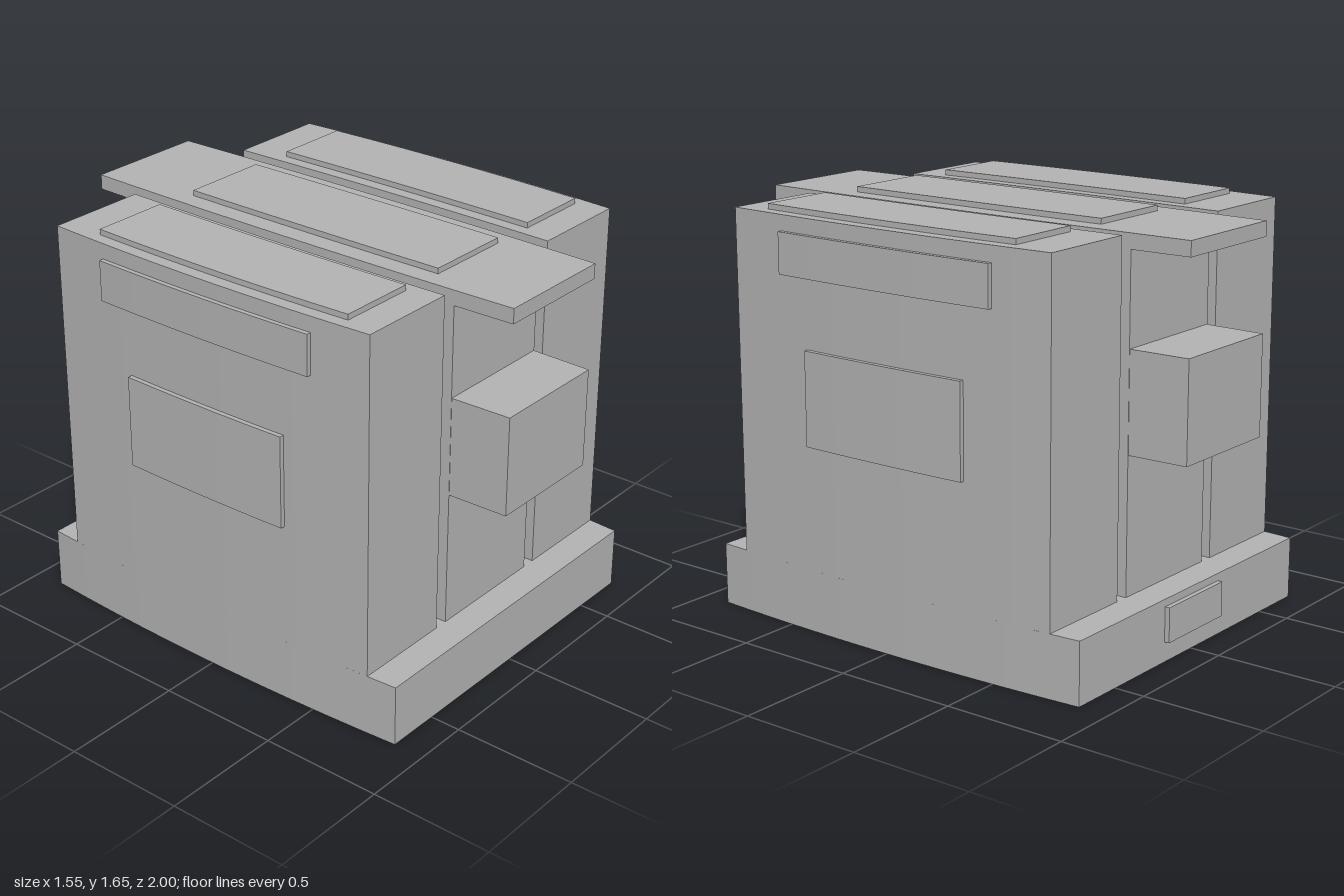
import * as THREE from 'three';

export function createModel() {
  const group = new THREE.Group();
  const grey = new THREE.MeshStandardMaterial({ color: 0xb2b2b2, flatShading: true });
  grey.name = 'grey';

  // A box given by its limits, whose sides bulge gently around z = 0
  function block(name, [x0, x1], [y0, y1], [z0, z1]) {
    const segments = Math.max(2, Math.round((z1 - z0) * 6));
    const geo = new THREE.BoxGeometry(x1 - x0, y1 - y0, z1 - z0, 1, 1, segments);
    geo.translate((x0 + x1) / 2, (y0 + y1) / 2, (z0 + z1) / 2);
    const p = geo.attributes.position;
    for (let i = 0; i < p.count; i++) {
      p.setX(i, p.getX(i) * (1 - 0.055 * p.getZ(i) ** 2));
    }
    geo.computeVertexNormals();
    const mesh = new THREE.Mesh(geo, grey);
    mesh.name = name;
    group.add(mesh);
  }

  // Base and its rear plate
  block('base', [-0.755, 0.755], [0, 0.25], [-0.875, 0.875]);
  block('rearPlate', [-0.19, 0.19], [0.08, 0.22], [-0.895, -0.875]);

  // Central tower with overhanging roof
  block('centreTower', [-0.267, 0.267], [0.25, 1.565], [-0.75, 0.75]);
  block('centreRoof', [-0.267, 0.267], [1.565, 1.625], [-1, 1]);
  block('centreRoofPanel', [-0.186, 0.186], [1.625, 1.647], [-0.565, 0.62]);

  // Projecting boxes on the front and back
  block('frontBox', [-0.265, 0.265], [0.8, 1.2], [0.75, 1]);
  block('backBox', [-0.265, 0.265], [0.8, 1.2], [-1, -0.75]);

  // Side towers with roof panels and raised side panels
  for (const [side, s] of [['left', 1], ['right', -1]]) {
    const span = (a, b) => (s > 0 ? [a, b] : [-b, -a]);
    block(side + 'Tower', span(0.325, 0.755), [0.25, 1.625], [-0.75, 0.75]);
    block(side + 'RoofPanel', span(0.377, 0.703), [1.625, 1.647], [-0.565, 0.62]);
    block(side + 'UpperPanel', span(0.755, 0.774), [1.4, 1.563], [-0.5, 0.5]);
    block(side + 'LowerPanel', span(0.755, 0.774), [0.75, 1.125], [-0.375, 0.375]);
  }
  return group;
}
